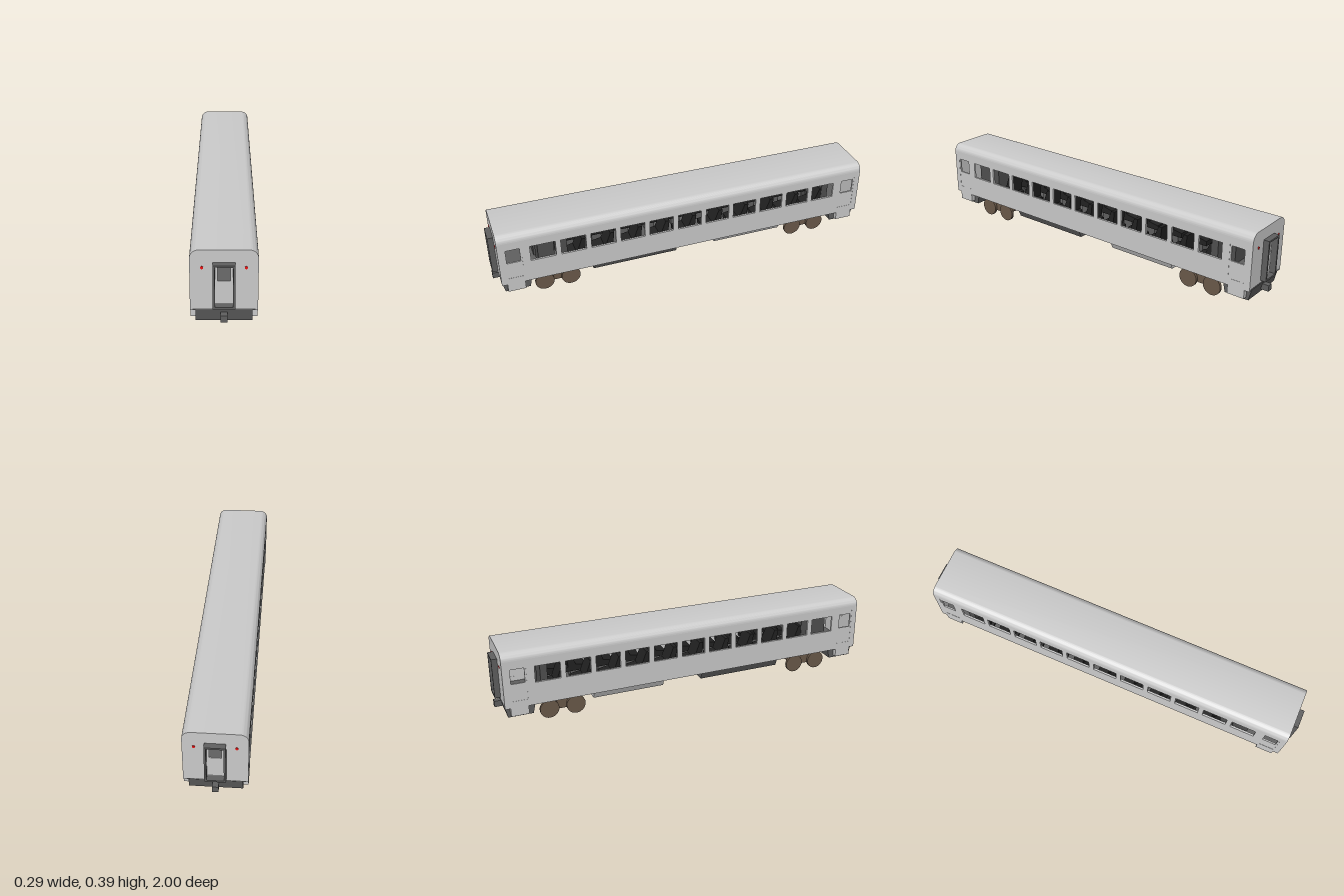
import * as THREE from 'three';
import { toCreasedNormals } from 'three/addons/utils/BufferGeometryUtils.js';

const mat = (color) => new THREE.MeshStandardMaterial({ color });
const grey = mat(0xcccccc), dark = mat(0x606060), black = mat(0x222222);
const brown = mat(0x6b5a4a), red = mat(0xee1010), cabin = mat(0x505050);

// rectangle as a list of points, for outlines and holes
const rect = (x0, x1, y0, y1) =>
  [[x0, y0], [x1, y0], [x1, y1], [x0, y1]].map(([x, y]) => new THREE.Vector2(x, y));

function panel(shape, depth, holes = []) {
  shape.holes = holes.map((h) => new THREE.Path(h));
  const geo = new THREE.ExtrudeGeometry(shape, { depth, bevelEnabled: false, curveSegments: 10 });
  return toCreasedNormals(geo, 0.6);
}

export function createModel() {
  const model = new THREE.Group();
  const add = (name, geo, material, x = 0, y = 0, z = 0, parent = model) => {
    const m = new THREE.Mesh(geo, material);
    m.name = name;
    m.position.set(x, y, z);
    parent.add(m);
    return m;
  };
  // box given by its limits
  const block = (name, material, x0, x1, y0, y1, z0, z1, parent = model) =>
    add(name, new THREE.BoxGeometry(x1 - x0, y1 - y0, z1 - z0), material,
      (x0 + x1) / 2, (y0 + y1) / 2, (z0 + z1) / 2, parent);
  // box narrowing towards its underside
  const taperedBlock = (name, material, hx, y0, y1, z0, z1, dx, dz) => {
    const m = block(name, material, -hx, hx, y0, y1, z0, z1);
    const p = m.geometry.attributes.position;
    for (let i = 0; i < p.count; i++) if (p.getY(i) < 0) {
      p.setX(i, p.getX(i) - Math.sign(p.getX(i)) * dx);
      p.setZ(i, p.getZ(i) - Math.sign(p.getZ(i)) * dz);
    }
    m.geometry = m.geometry.toNonIndexed();
    m.geometry.computeVertexNormals();
  };

  const W = 0.143, L = 0.971, H = 0.393, R = 0.04, T = 0.01, SPRING = H - R;

  // Side walls with windows and door openings
  const windows = [];
  for (let i = -5; i <= 5; i++) {
    const z = i * 0.151;
    windows.push(rect(z - 0.0625, z + 0.0625, 0.226, 0.31));
  }
  const doorways = [-0.9, 0.9].map((z) => rect(z - 0.042, z + 0.042, 0.145, 0.33));
  const wallGeo = panel(new THREE.Shape(rect(-L, L, 0.11, SPRING)), T, [...windows, ...doorways]);
  const doorGeo = panel(new THREE.Shape(rect(-0.042, 0.042, 0.145, 0.33)), T - 0.002,
    [rect(-0.034, 0.034, 0.235, 0.31)]);
  for (const s of [1, -1]) {
    const side = s > 0 ? 'left' : 'right';
    add(side + 'Wall', wallGeo, grey, s > 0 ? W : -W + T, 0, 0).rotation.y = -Math.PI / 2;
    for (const z of [-0.9, 0.9])
      add(side + 'Door', doorGeo, grey, s > 0 ? W - 0.001 : -W + T - 0.001, 0, z).rotation.y = -Math.PI / 2;
  }

  // Roof with rounded shoulders
  const roof = new THREE.Shape();
  roof.moveTo(W, SPRING);
  roof.absarc(W - R, SPRING, R, 0, Math.PI / 2, false);
  roof.absarc(-W + R, SPRING, R, Math.PI / 2, Math.PI, false);
  roof.lineTo(-W + T, SPRING);
  roof.absarc(-W + R, SPRING, R - T, Math.PI, Math.PI / 2, true);
  roof.absarc(W - R, SPRING, R - T, Math.PI / 2, 0, true);
  roof.closePath();
  add('roof', panel(roof, 2 * L), grey, 0, 0, -L);
  block('floor', dark, -W + T, W - T, 0.109, 0.12, -L + 0.002, L - 0.002);

  // End walls, gangway frames, end doors and tail lights
  const endShape = new THREE.Shape();
  endShape.moveTo(-W, 0.118);
  endShape.lineTo(W, 0.118);
  endShape.absarc(W - R, SPRING, R, 0, Math.PI / 2, false);
  endShape.absarc(-W + R, SPRING, R, Math.PI / 2, Math.PI, false);
  endShape.closePath();
  const endGeo = panel(endShape, T, [rect(-0.038, 0.038, 0.14, 0.326)]);
  const frameGeo = panel(new THREE.Shape(rect(-0.047, 0.047, 0.131, 0.335)), 0.03,
    [rect(-0.038, 0.038, 0.14, 0.326)]);
  const endDoorGeo = panel(new THREE.Shape(rect(-0.038, 0.038, 0.14, 0.326)), 0.006,
    [rect(-0.027, 0.027, 0.247, 0.317)]);
  const lampGeo = new THREE.CylinderGeometry(0.0065, 0.0065, 0.004, 16).rotateX(Math.PI / 2);
  for (const s of [1, -1]) {
    const end = new THREE.Group();
    end.name = s > 0 ? 'frontEnd' : 'backEnd';
    end.rotation.y = s > 0 ? 0 : Math.PI;
    model.add(end);
    add('endWall', endGeo, grey, 0, 0, L - T + 0.001, end);
    add('gangwayFrame', frameGeo, dark, 0, 0, 0.97, end);
    add('endDoor', endDoorGeo, grey, 0, 0, L - 0.008, end);
    for (const x of [-0.092, 0.092]) add('tailLight', lampGeo, red, x, 0.312, L + 0.002, end);
    block('coupler', dark, -0.014, 0.014, 0.068, 0.099, 0.94, 1, end);
    for (const x of [-0.1315, 0.1315])
      block('doorStep', grey, x - 0.0115, x + 0.0115, 0.067, 0.111, 0.858, 0.945, end);
  }
  for (const s of [1, -1]) taperedBlock('endUnderframe', dark, 0.12, 0.054, 0.11,
    s * 0.895 - 0.075, s * 0.895 + 0.075, 0, 0.013);

  // Equipment boxes under the floor
  taperedBlock('longEquipmentBox', dark, 0.12, 0.061, 0.11, 0.06, 0.505, 0.02, 0);
  taperedBlock('shortEquipmentBox', grey, 0.12, 0.065, 0.11, -0.525, -0.152, 0.02, 0);

  // Bogies
  const wheelGeo = new THREE.CylinderGeometry(0.048, 0.048, 0.013, 28).rotateZ(Math.PI / 2);
  const axleGeo = new THREE.CylinderGeometry(0.012, 0.012, 0.19, 12).rotateZ(Math.PI / 2);
  for (const z of [0.69, -0.682]) {
    const bogie = new THREE.Group();
    bogie.name = 'bogie';
    bogie.position.z = z;
    model.add(bogie);
    block('bogieFrame', brown, -0.087, 0.087, 0.035, 0.078, -0.07, 0.07, bogie);
    block('bogieBolster', brown, -0.087, 0.087, 0.078, 0.095, -0.035, 0.035, bogie);
    block('bogiePivot', brown, -0.06, 0.06, 0.095, 0.11, -0.03, 0.03, bogie);
    for (const dz of [-0.067, 0.067]) {
      add('axle', axleGeo, brown, 0, 0.048, dz, bogie);
      for (const x of [-0.0935, 0.0935]) add('wheel', wheelGeo, brown, x, 0.048, dz, bogie);
    }
  }

  // Seats either side of the aisle, with cabinets at the ends
  const seat = new THREE.Shape([[-0.055, 0.165], [0.055, 0.165], [0.055, 0.19], [0.0, 0.2],
    [-0.03, 0.28], [-0.05, 0.28], [-0.04, 0.19], [-0.055, 0.185]]
    .map(([x, y]) => new THREE.Vector2(x, y)));
  const seatGeo = panel(seat, 0.09);
  for (const s of [1, -1]) {
    const x0 = s > 0 ? 0.035 : -0.13, x1 = s > 0 ? 0.13 : -0.035;
    for (let i = 0; i < 10; i++) {
      const z = 0.59 - i * 0.145;
      // opposite sides of the aisle face opposite ways
      add('seat', seatGeo, black, s > 0 ? 0.128 : -0.128, 0, z).rotation.y = -s * Math.PI / 2;
      block('seatBase', dark, s * 0.083 - 0.03, s * 0.083 + 0.03, 0.12, 0.165, z - 0.025, z + 0.025);
    }
    block('cabinet', cabin, x0, x1, 0.12, 0.38, 0.7, 0.78);
    block('partition', cabin, x0, x1, 0.12, 0.38, 0.635, 0.67);
    block('partition', cabin, x0, x1, 0.12, 0.38, -0.79, -0.755);
  }
  return model;
}
